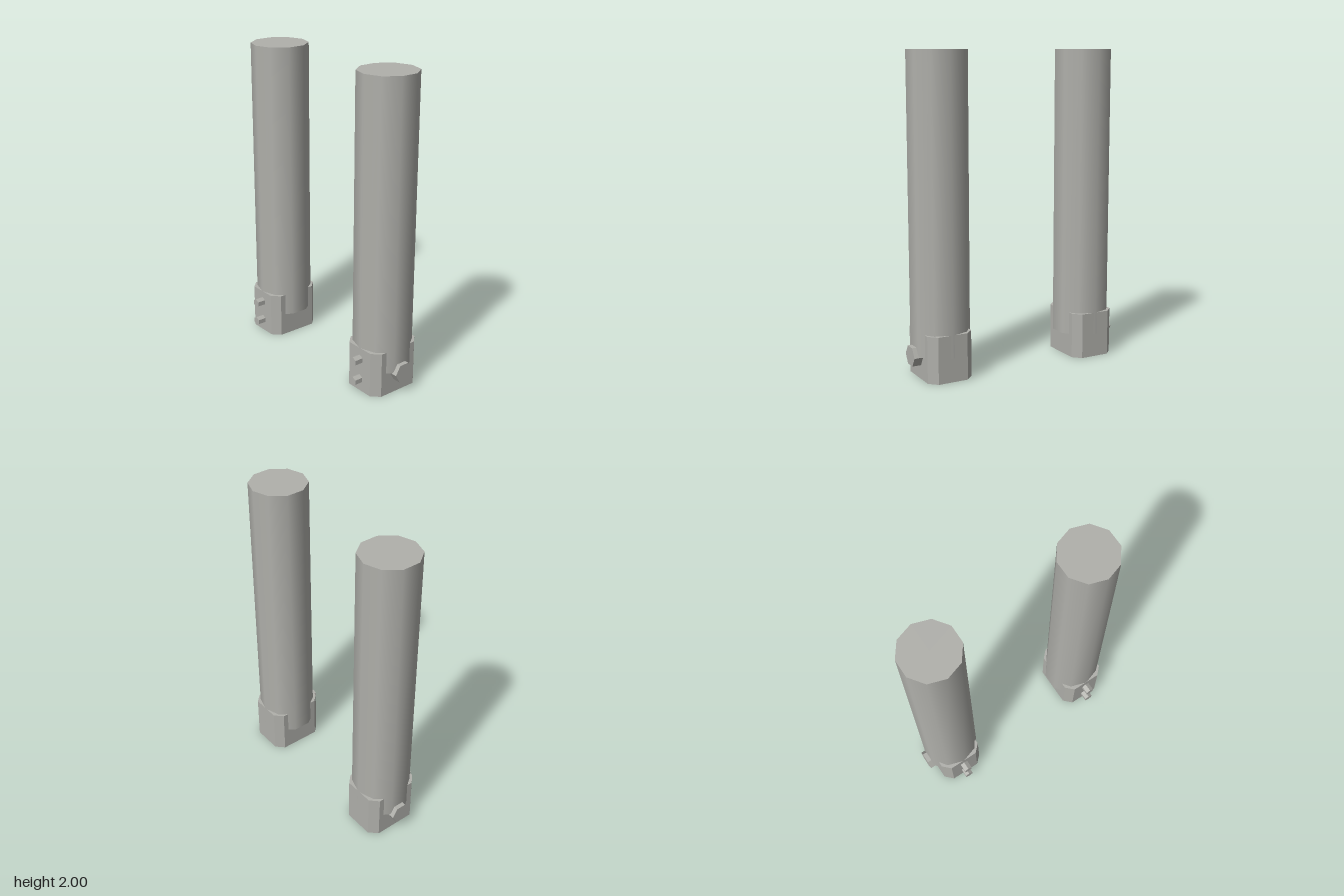
import * as THREE from 'three';

const grey = new THREE.MeshStandardMaterial({ color: 0xb0b0ab });
grey.name = 'concreteGrey';

const CENTRE_X = 0.025, CENTRE_Z = 0.517;

function part(name, geometry, x, y, z) {
  const mesh = new THREE.Mesh(geometry, grey);
  mesh.name = name;
  mesh.position.set(x, y, z);
  return mesh;
}

// Prism with crisp edges, running from z = 0 to z = depth
function prism(points, depth) {
  const shape = new THREE.Shape(points.map(([x, y]) => new THREE.Vector2(x, y)));
  return new THREE.ExtrudeGeometry(shape, { depth, bevelEnabled: false });
}

function hexagon(radius, turn = 0) {
  return Array.from({ length: 6 }, (_, i) => {
    const a = turn + i * Math.PI / 3;
    return [radius * Math.cos(a), radius * Math.sin(a)];
  });
}

// Block with chamfered upright corners
function chamferedBlock(width, depth, height, cut) {
  const w = width / 2, d = depth / 2;
  const outline = [
    [w, -d + cut], [w, d - cut], [w - cut, d], [-w + cut, d],
    [-w, d - cut], [-w, -d + cut], [-w + cut, -d], [w - cut, -d],
  ];
  return prism(outline, height).rotateX(-Math.PI / 2);
}

// One post in its socket; side = 1 for the front post, -1 for the back one
function createPost(side) {
  const post = new THREE.Group();
  post.name = side > 0 ? 'frontPost' : 'backPost';
  post.position.set(CENTRE_X, 0, side * CENTRE_Z);

  // Ten-sided column, a corner pointing along x
  const column = new THREE.CylinderGeometry(0.186, 0.186, 1.85, 10, 1, false, Math.PI / 2);
  post.add(part('column', column, 0, 1.075, 0));

  // Base socket
  post.add(part('socket', chamferedBlock(0.367, 0.296, 0.295, 0.05), -0.001, 0, 0));

  // Large bolt head on the outward face
  const large = prism(hexagon(0.067), 0.065);
  if (side < 0) large.rotateY(Math.PI);
  post.add(part('largeBolt', large, 0, 0.147, side * 0.14));

  // Two small bolts on the right side
  for (const y of [0.082, 0.219]) {
    const small = prism(hexagon(0.03, Math.PI / 2), 0.065).rotateY(-Math.PI / 2);
    post.add(part('smallBolt', small, -0.175, y, 0));
  }
  return post;
}

export function createModel() {
  const model = new THREE.Group();
  model.name = 'postPair';
  model.add(createPost(1), createPost(-1));
  return model;
}
